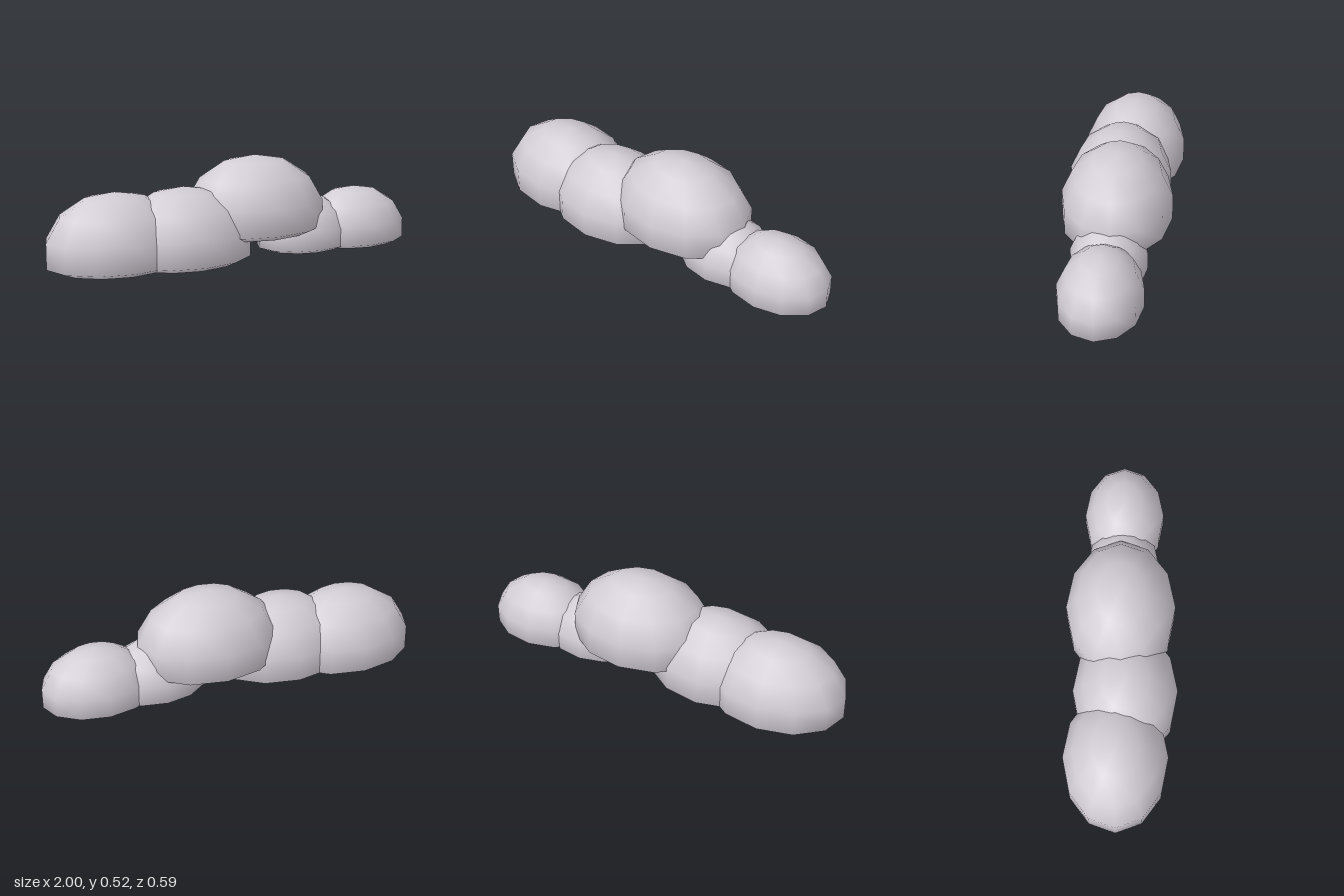
import * as THREE from 'three';
import { mergeVertices } from 'three/addons/utils/BufferGeometryUtils.js';

const FLAT = -0.317; // height of the flat underside on a unit sphere

// A low-poly ellipsoid whose lower part is pressed flat at the given base height
function puffGeometry(rx, ry, rz) {
  let geo = new THREE.SphereGeometry(1, 12, 7);
  geo.deleteAttribute('uv');
  geo.deleteAttribute('normal');
  const pos = geo.attributes.position;
  for (let i = 0; i < pos.count; i++) pos.setY(i, Math.max(pos.getY(i), FLAT) - FLAT);
  geo.scale(rx, ry, rz);
  geo = mergeVertices(geo, 1e-4);
  geo.computeVertexNormals();
  return geo;
}

export function createModel() {
  const cloud = new THREE.Group();
  cloud.name = 'cloud';
  const cloudGrey = new THREE.MeshStandardMaterial({ color: 0xd2ccd5 });
  cloudGrey.name = 'cloudGrey';

  // name, base position (x, y, z), radii (x, y, z)
  const puffs = [
    ['farRightPuff', [-0.64, 0, -0.025], [0.369, 0.292, 0.275]],
    ['rightPuff', [-0.29, 0, 0.024], [0.369, 0.296, 0.277]],
    ['topPuff', [0.125, 0.11, 0], [0.385, 0.308, 0.29]],
    ['leftPuff', [0.41, 0, 0.012], [0.267, 0.216, 0.199]],
    ['farLeftPuff', [0.715, 0, 0.019], [0.292, 0.2315, 0.217]],
  ];
  for (const [name, base, radii] of puffs) {
    const puff = new THREE.Mesh(puffGeometry(...radii), cloudGrey);
    puff.name = name;
    puff.position.set(...base);
    cloud.add(puff);
  }
  return cloud;
}
